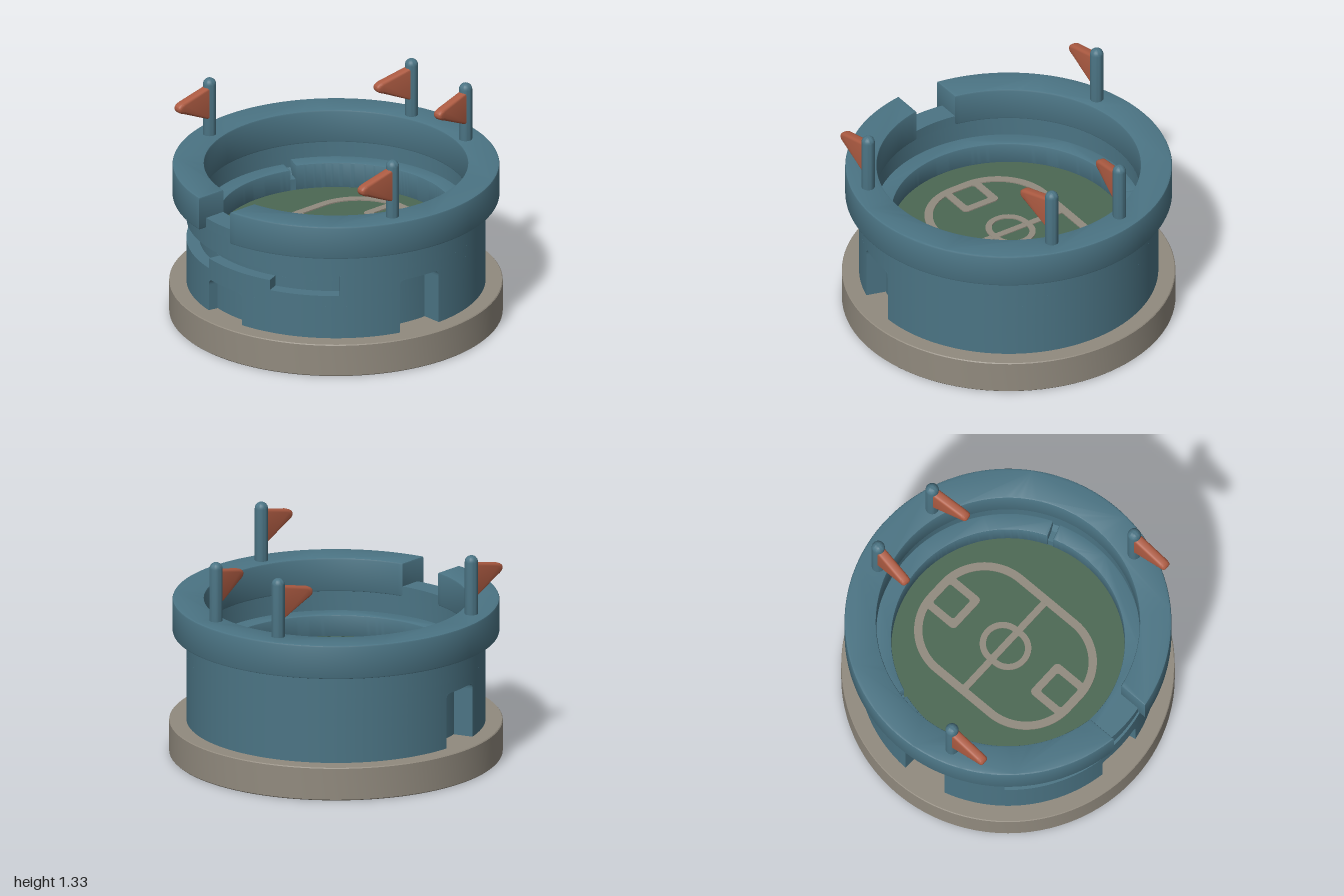
import * as THREE from 'three';
import { toCreasedNormals } from 'three/addons/utils/BufferGeometryUtils.js';

const material = (name, color) => {
  const m = new THREE.MeshStandardMaterial({ color });
  m.name = name;
  return m;
};

export function createModel() {
  const root = new THREE.Group();
  root.name = 'stadium';
  const teal = material('tealWall', 0x4b7484);
  const stone = material('stone', 0x918a7e);
  const dark = material('darkUnderside', 0x3e3e2e);
  const grass = material('grass', 0x4c6853);
  const orange = material('flagOrange', 0xad5b42);
  const RAD = Math.PI / 180;
  const WALL = 0.897, CORE = 0.775;

  const add = (name, geo, mat, parent = root) => {
    const mesh = new THREE.Mesh(toCreasedNormals(geo, 0.6), mat);
    mesh.name = name;
    parent.add(mesh);
    return mesh;
  };
  const lathe = (pts) => new THREE.LatheGeometry(pts.map((p) => new THREE.Vector2(...p)), 96);

  // Shape drawn in plan (y = -z), raised from y0 to y1
  const raise = (shape, y0, y1, bevel = 0) => new THREE.ExtrudeGeometry(shape, {
    depth: y1 - y0 - 2 * bevel, curveSegments: 72, bevelEnabled: bevel > 0,
    bevelSize: bevel, bevelThickness: bevel, bevelOffset: -bevel, bevelSegments: 2,
  }).rotateX(-Math.PI / 2).translate(0, y0 + bevel, 0);

  // Curved block; angles in degrees from the front towards +x
  const arcBlock = (name, r0, r1, y0, y1, a0, a1, bevel = 0, inset = 0) => {
    const t = (a) => (a - 90) * RAD;
    const s = new THREE.Shape();
    s.absarc(0, 0, r1, t(a0), t(a1), false);
    s.absarc(0, 0, r0, t(a1 - inset), t(a0 + inset), true);
    return add(name, raise(s, y0, y1, bevel), teal);
  };

  // Base slab with a dark underside
  add('base', lathe([[0.994, 0], [1, 0.006], [1, 0.2], [0.995, 0.205], [0, 0.205]]), stone);
  add('underside', new THREE.CircleGeometry(0.994, 96).rotateX(Math.PI / 2), dark);

  // Wall core, with the seating tiers inside it
  add('wallCore', lathe([[CORE, 0.2], [CORE, 0.545], [0.82, 0.545], [0.82, 0.76],
    [0.8, 0.76], [0.8, 0.61], [0.77, 0.57], [0.705, 0.57], [0.705, 0.45]]), teal);
  arcBlock('frontTier', 0.7, 0.805, 0.5, 0.635, -108.5, 108.5, 0.006);
  arcBlock('backTier', 0.7, 0.805, 0.5, 0.66, 111.5, 248.5, 0.006);

  // Outer wall in bands, leaving the slot and the three doorways open
  const door = 9.6, s0 = 73.8, s1 = 91.9, slot = 50;
  const inner = CORE - 0.01;
  const bands = [
    [0.2, 0.41, inner, [[door, s0], [s1, 180], [180, 360 - s1], [360 - s0, 360 - door]]],
    [0.41, 0.48, inner, [[-s0, s0], [s1, 180], [180, 360 - s1]]],
    [0.48, 0.545, inner, [[-s0, -slot], [-door, 22.3], [slot, s0], [s1, 180], [180, 360 - s1]]],
    [0.545, 0.61, 0.765, [[slot, 180], [180, 360 - slot]]],
    [0.61, 0.76, 0.815, [[-180, 0], [0, 180]]],
  ];
  for (const [y0, y1, r0, spans] of bands) {
    for (const [a0, a1] of spans) {
      arcBlock('outerWall', y0 < 0.5 ? r0 : 0.815, WALL, y0, y1, a0, a1);
    }
  }
  arcBlock('frontDoorBack', inner, 0.835, 0.2, 0.41, -door, door);
  arcBlock('slotBack', inner, 0.82, 0.48, 0.545, -slot, slot);

  // Rounded top corners of the doorways
  const corner = (deg, y, back, side) => {
    const s = new THREE.Shape();
    s.moveTo(0, 0);
    s.lineTo(side * 0.04, 0);
    s.quadraticCurveTo(0, 0, 0, -0.04);
    const g = new THREE.ExtrudeGeometry(s, { depth: WALL - back, bevelEnabled: false });
    const p = g.attributes.position;
    for (let i = 0; i < p.count; i++) {
      const a = deg * RAD + p.getX(i) / WALL, r = back + p.getZ(i);
      p.setXYZ(i, r * Math.sin(a), y + p.getY(i), r * Math.cos(a));
    }
    add('doorCorner', g, teal);
  };
  for (const [a0, a1, y, back] of [[-door, door, 0.41, 0.835], [s0, s1, 0.545, CORE], [-s1, -s0, 0.545, CORE]]) {
    corner(a0, y, back, 1);
    corner(a1, y, back, -1);
  }

  // Overhanging rim with a straight-sided gap at the front
  const gapOut = Math.asin(0.14 / 0.98) / RAD, gapIn = Math.asin(0.14 / 0.79) / RAD;
  arcBlock('rim', 0.79, 0.98, 0.755, 0.965, gapOut, 360 - gapOut, 0.01, gapIn - gapOut);
  arcBlock('gapSill', 0.79, 0.925, 0.755, 0.82, -gapIn - 0.5, gapIn + 0.5);

  // Playing field
  add('field', new THREE.CylinderGeometry(0.706, 0.706, 0.04, 96).translate(0, 0.48, 0), grass);

  // Pitch markings
  const markings = new THREE.Group();
  markings.name = 'pitchMarkings';
  markings.position.set(0, 0.499, -0.02);
  root.add(markings);
  const roundRect = (target, w, h, r) => {
    target.absarc(w - r, h - r, r, 0, Math.PI / 2, false);
    target.absarc(r - w, h - r, r, Math.PI / 2, Math.PI, false);
    target.absarc(r - w, r - h, r, Math.PI, Math.PI * 1.5, false);
    target.absarc(w - r, r - h, r, Math.PI * 1.5, Math.PI * 2, false);
    return target;
  };
  const outline = (name, w, h, r, t, z = 0) => {
    const s = roundRect(new THREE.Shape(), w, h, r);
    s.holes.push(roundRect(new THREE.Path(), w - t, h - t, Math.max(r - t, 0.015)));
    add(name, raise(s, 0, 0.008), stone, markings).position.z = z;
  };
  outline('boundaryLine', 0.405, 0.565, 0.35, 0.05);
  outline('centreCircle', 0.138, 0.16, 0.137, 0.038);
  for (const s of [-1, 1]) outline('goalBox', 0.127, 0.13, 0.03, 0.048, s * 0.43);
  add('halfwayLine', new THREE.BoxGeometry(0.76, 0.007, 0.042).translate(0, 0.0035, -0.006), stone, markings);

  // Flagpoles with rounded pennants
  const pennant = new THREE.Shape();
  pennant.moveTo(0, 1.285);
  pennant.lineTo(0.22, 1.235);
  pennant.quadraticCurveTo(0.264, 1.225, 0.264, 1.2);
  pennant.quadraticCurveTo(0.264, 1.172, 0.22, 1.16);
  pennant.lineTo(0, 1.06);
  const flagGeo = new THREE.ExtrudeGeometry(pennant, {
    depth: 0.024, bevelSize: 0.018, bevelThickness: 0.018, bevelOffset: -0.018, bevelSegments: 3,
  }).translate(0, 0, -0.012).rotateY(-Math.PI / 2);
  for (const side of [-1, 1]) {
    for (const [x, z, turn] of [[0.828, 0.28, 0], [0.245, -0.82, 7]]) {
      const pole = new THREE.Group();
      pole.name = 'flagpole';
      pole.position.set(side * x, 0, z);
      pole.rotation.y = side * turn * RAD;
      root.add(pole);
      add('pole', new THREE.CapsuleGeometry(0.04, 0.36, 8, 24).translate(0, 1.11, 0), teal, pole);
      add('flag', flagGeo, orange, pole);
    }
  }
  return root;
}
